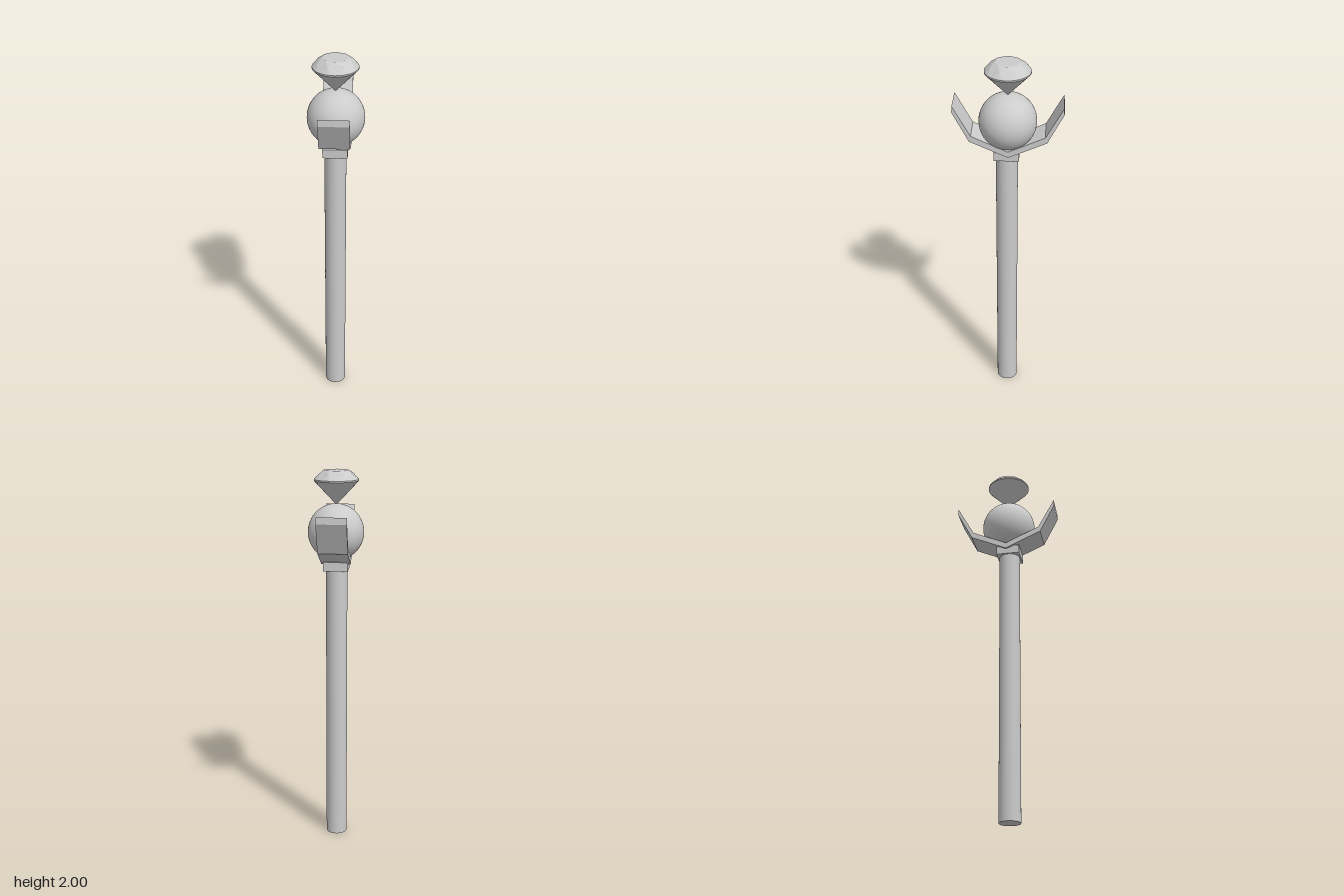
import * as THREE from 'three';

const grey = (flatShading = false) => new THREE.MeshStandardMaterial({ color: 0xcccccc, flatShading });

function part(name, geometry, material, x, y, z) {
  const mesh = new THREE.Mesh(geometry, material);
  mesh.name = name;
  mesh.position.set(x, y, z);
  return mesh;
}

// Brilliant-cut gem: table, star facets, kites, girdle and pavilion; its tip is at the origin
function gemGeometry() {
  const tris = [];
  const sides = 8, split = 4, total = sides * split;
  const point = (r, y, turn) => {
    const a = turn * Math.PI * 2;
    return [r * Math.sin(a), y, r * Math.cos(a)];
  };
  const tri = (a, b, c) => tris.push(...a, ...b, ...c);
  const quad = (a, b, c, d) => { tri(a, b, c); tri(a, c, d); };
  const table = k => point(0.065, 0.175, k / sides);
  const mid = k => point(0.09, 0.159, (k + 0.5) / sides);
  const upper = j => point(0.115, 0.129, j / total);
  const lower = j => point(0.115, 0.122, j / total);

  for (let k = 0; k < sides; k++) {
    tri([0, 0.175, 0], table(k), table(k + 1));
    tri(table(k), mid(k), table(k + 1));
    quad(table(k), mid(k - 1), upper(k * split), mid(k));
    for (let j = k * split; j < (k + 1) * split; j++) {
      tri(mid(k), upper(j), upper(j + 1));
      quad(lower(j), lower(j + 1), upper(j + 1), upper(j));
      tri([0, 0, 0], lower(j + 1), lower(j));
    }
  }
  const geometry = new THREE.BufferGeometry();
  geometry.setAttribute('position', new THREE.Float32BufferAttribute(tris, 3));
  geometry.computeVertexNormals();
  return geometry;
}

// Bent strap: a mirrored (z, y) profile extruded across x
function cradleGeometry() {
  const outer = [[0, 1.518], [0.193, 1.605], [0.274, 1.763]];
  const inner = [[0.272, 1.797], [0.184, 1.635], [0, 1.55]];
  const half = [...outer, ...inner];
  const mirrored = half.slice(1, -1).reverse().map(([z, y]) => [-z, y]);
  const shape = new THREE.Shape([...half, ...mirrored].map(p => new THREE.Vector2(...p)));
  const width = 0.153;
  return new THREE.ExtrudeGeometry(shape, { depth: width, bevelEnabled: false })
    .translate(0, 0, -width / 2)
    .rotateY(-Math.PI / 2);
}

export function createModel() {
  const model = new THREE.Group();
  model.name = 'scepter';
  model.add(
    part('shaft', new THREE.CylinderGeometry(0.056, 0.056, 1.5, 32), grey(), -0.003, 0.75, 0.009),
    part('collar', new THREE.BoxGeometry(0.127, 0.047, 0.127), grey(), -0.002, 1.513, 0.009),
    part('cradle', cradleGeometry(), grey(), 0, 0, 0),
    part('orb', new THREE.SphereGeometry(0.145, 48, 32), grey(), 0, 1.686, 0.004),
    part('gem', gemGeometry(), grey(true), -0.002, 1.825, 0.004)
  );
  return model;
}
